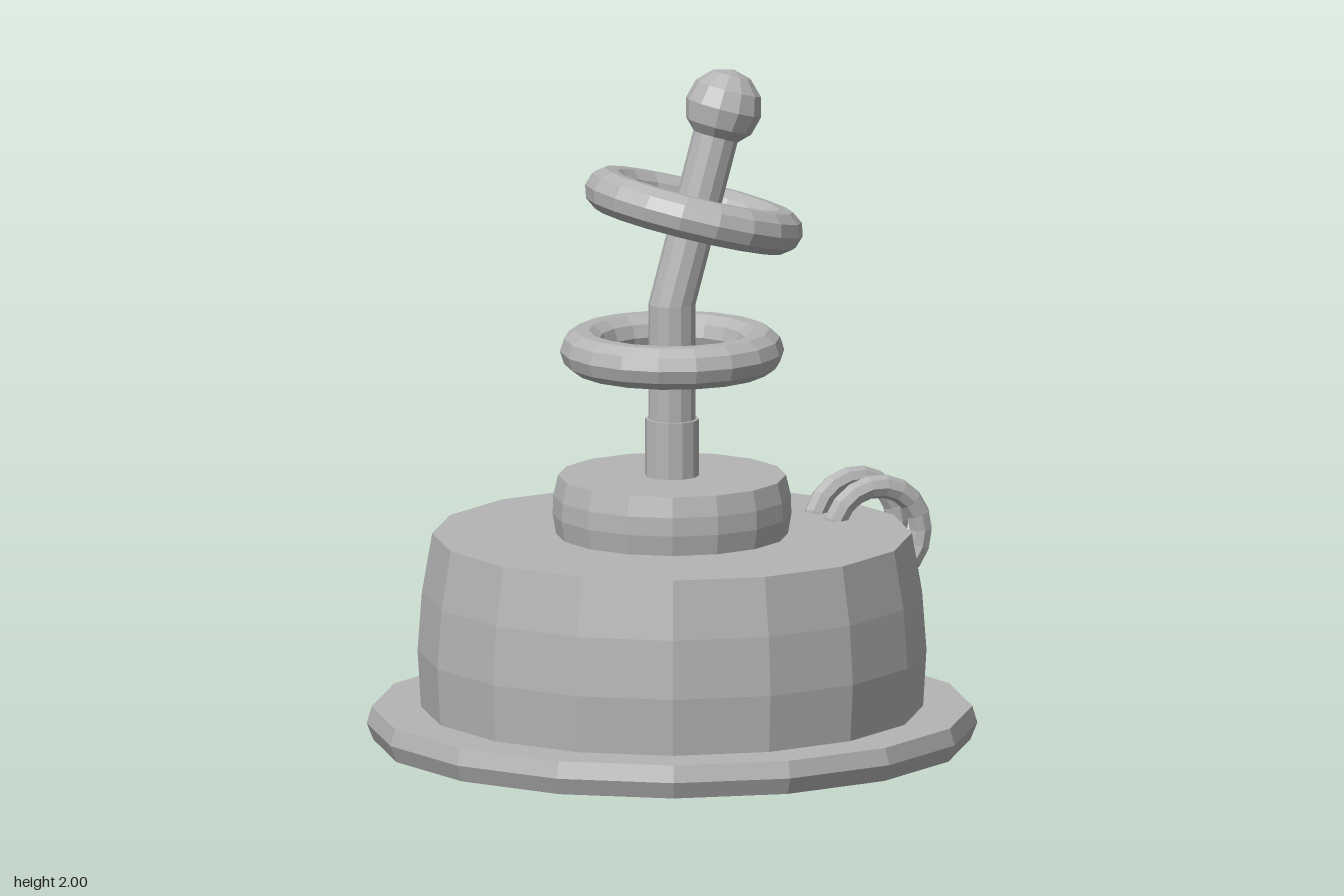
import * as THREE from 'three';

export function createModel() {
  const group = new THREE.Group();
  const grey = new THREE.MeshStandardMaterial({ color: 0xb4b4b4, flatShading: true });
  grey.name = 'plain grey';

  const add = (name, geometry, x = 0, y = 0, z = 0) => {
    const mesh = new THREE.Mesh(geometry, grey);
    mesh.name = name;
    mesh.position.set(x, y, z);
    group.add(mesh);
    return mesh;
  };
  // Closed turned solid from [radius, height] pairs, bottom to top
  const turned = (profile) => new THREE.LatheGeometry(
    [[0, profile[0][1]], ...profile, [0, profile.at(-1)[1]]].map(([r, y]) => new THREE.Vector2(r, y)), 16);

  // Stepped base, drum and collar
  add('basePlate', turned([[0.88, 0], [0.9, 0.05], [0.885, 0.1]]));
  add('drum', turned([[0.74, 0.1], [0.75, 0.27], [0.737, 0.445], [0.707, 0.62]]));
  add('collar', turned([[0.342, 0.62], [0.352, 0.68], [0.35, 0.735], [0.336, 0.795]]));

  // Socket and the rod that bends towards +x
  add('rodSocket', new THREE.CylinderGeometry(0.08, 0.08, 0.17, 12), 0, 0.88, 0);
  const tilt = 0.275, bendY = 1.31;
  const rodBottom = 0.95, rodTop = 1.85;
  const rod = new THREE.CylinderGeometry(0.07, 0.07, 1, 12, 2);
  const p = rod.attributes.position;
  for (let i = 0; i < p.count; i++) {
    const row = Math.round((p.getY(i) + 0.5) * 2);
    const y = [rodBottom, bendY, rodTop][row];
    p.setX(i, p.getX(i) + Math.max(0, y - bendY) * Math.tan(tilt));
    p.setY(i, y);
  }
  rod.computeVertexNormals();
  add('bentRod', rod);
  const knob = add('knob', new THREE.SphereGeometry(0.115, 12, 6), 0.165, 1.888, 0);
  knob.rotation.z = -tilt;

  // Loose rings around the rod
  const ring = () => new THREE.TorusGeometry(0.266, 0.065, 10, 18).rotateX(Math.PI / 2);
  add('lowerRing', ring(), 0, 1.17, 0);
  add('upperRing', ring(), 0.07, 1.585, 0).rotation.z = -0.26;

  // Pair of small rings hooked over the drum edge
  const smallRing = () => new THREE.TorusGeometry(0.14, 0.035, 8, 18);
  add('sideRing', smallRing(), 0.655, 0.57, 0);
  add('sideRingTurned', smallRing(), 0.645, 0.57, -0.14).rotation.set(-0.05, 0.11, 0);

  return group;
}
